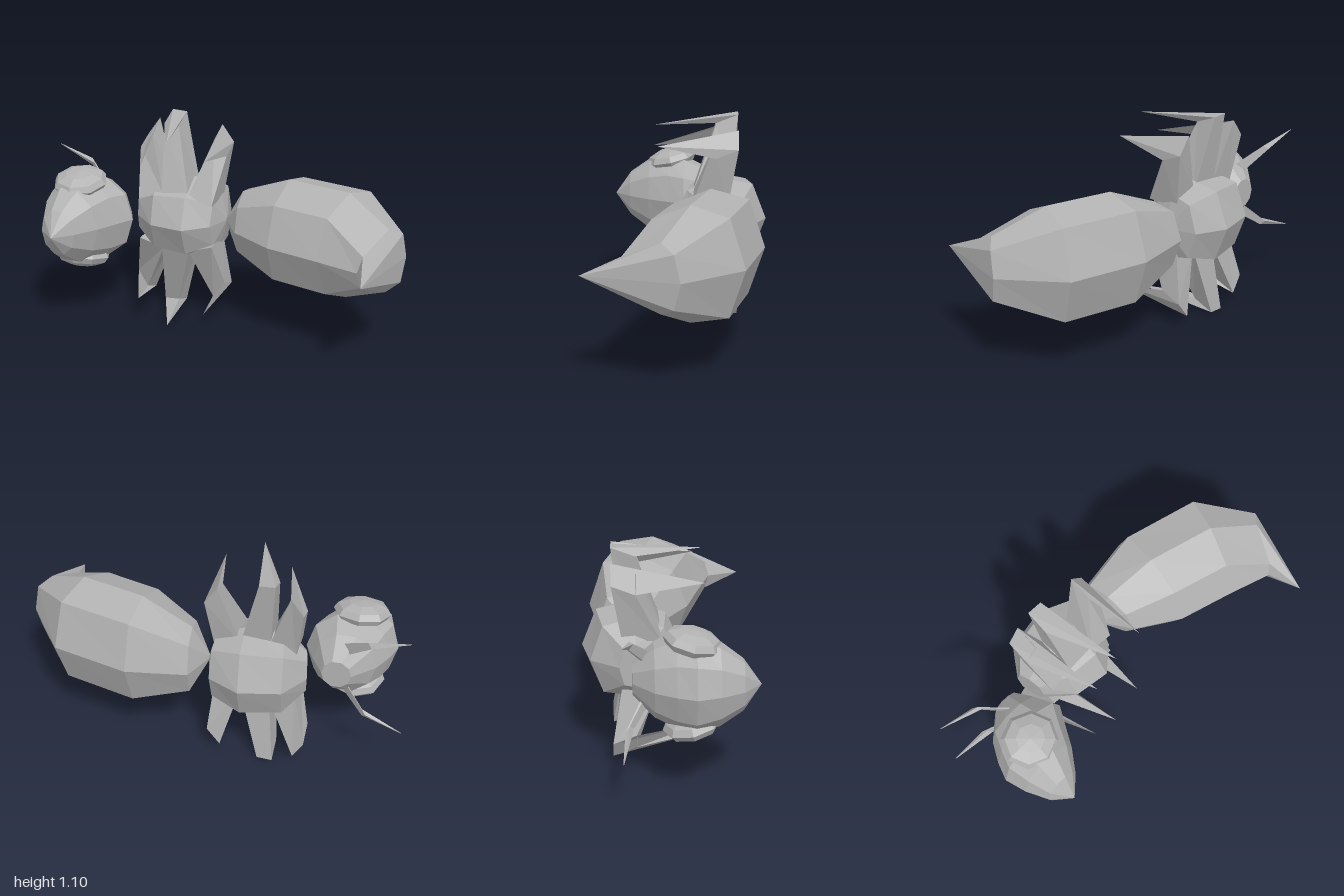
import * as THREE from 'three';

const MID = 0.547; // height of the plane of symmetry

// Skin a row of equal-sized rings, close both ends and turn all faces outward
function loft(rings) {
  const tris = [];
  const n = rings[0].length;
  const centre = (r) => r.reduce((s, p) => s.add(p), new THREE.Vector3()).divideScalar(n);
  for (let k = 0; k < rings.length - 1; k++) {
    for (let i = 0; i < n; i++) {
      const j = (i + 1) % n, a = rings[k], b = rings[k + 1];
      tris.push([a[i], a[j], b[j]], [a[i], b[j], b[i]]);
    }
  }
  const first = rings[0], last = rings[rings.length - 1];
  const c0 = centre(first), c1 = centre(last);
  for (let i = 0; i < n; i++) {
    const j = (i + 1) % n;
    tris.push([c0, first[j], first[i]], [c1, last[i], last[j]]);
  }
  const origin = centre(rings[Math.floor(rings.length / 2)]);
  let volume = 0;
  for (const t of tris) {
    const [a, b, c] = t.map((p) => p.clone().sub(origin));
    volume += a.dot(b.cross(c));
  }
  const points = tris.flatMap(([a, b, c]) => (volume < 0 ? [a, c, b] : [a, b, c]));
  const geometry = new THREE.BufferGeometry().setFromPoints(points);
  geometry.computeVertexNormals();
  return geometry;
}

const V = (x, y, z) => new THREE.Vector3(x, y, z);

// Eight-sided ring from its back point, its belly point and its half width; the back is fuller
function bodyRing(x0, z0, x1, z1, w) {
  return Array.from({ length: 8 }, (_, i) => {
    const a = (i * Math.PI) / 4, t = (1 - Math.cos(a)) / 2, s = Math.sin(a);
    const full = t < 0.5 ? Math.sign(s) * Math.sqrt(Math.abs(s)) : s;
    return V(x0 + (x1 - x0) * t, MID + w * full, z0 + (z1 - z0) * t);
  });
}

// Full ring from five half-ring points (x, half width, z)
function mirroredRing(half) {
  const left = half.map(([x, w, z]) => V(x, MID + w, z));
  const right = half.slice(1, 4).reverse().map(([x, w, z]) => V(x, MID - w, z));
  return [...left, ...right];
}

const point = (n, x, y, z) => Array.from({ length: n }, () => V(x, y, z));

export function createModel() {
  const group = new THREE.Group();
  const grey = new THREE.MeshStandardMaterial({ color: 0xb2b2b2, flatShading: true });
  grey.name = 'plain grey';
  const add = (name, geometry) => {
    const mesh = new THREE.Mesh(geometry, grey);
    mesh.name = name;
    group.add(mesh);
    return mesh;
  };

  // Abdomen, drawn out into the sting
  add('abdomen', loft([
    point(8, -0.01, MID, -0.2),
    bodyRing(0.07, -0.37, 0.1, -0.03, 0.17),
    bodyRing(0.38, -0.42, 0.32, 0.11, 0.282),
    bodyRing(0.78, -0.32, 0.6, 0.19, 0.282),
    mirroredRing([[0.995, 0, -0.03], [0.98, 0.128, 0], [0.92, 0.165, 0.06],
      [0.84, 0.08, 0.24], [0.82, 0, 0.26]]),
    point(8, 0.88, MID, 0.43),
  ]));

  // Thorax
  add('thorax', loft([
    bodyRing(-0.51, -0.26, -0.475, -0.1, 0.11),
    bodyRing(-0.41, -0.4, -0.35, 0.02, 0.205),
    bodyRing(-0.2, -0.445, -0.17, 0.045, 0.22),
    bodyRing(-0.04, -0.37, -0.05, -0.06, 0.17),
    point(8, 0, MID, -0.2),
  ]));

  // Head, from the crown to the pointed mouth: z, left x, right x, half height
  const headRings = [
    [-0.2, -0.72, -0.57, 0.08], [-0.1, -0.83, -0.51, 0.18], [0, -0.885, -0.46, 0.23],
    [0.09, -0.918, -0.51, 0.24], [0.2, -0.888, -0.57, 0.205], [0.31, -0.835, -0.65, 0.125],
  ].map(([z, x0, x1, h]) => Array.from({ length: 10 }, (_, i) => {
    const a = (i * Math.PI) / 5;
    return V((x0 + x1) / 2 + ((x1 - x0) / 2) * Math.cos(a), 0.557 + h * Math.sin(a), z);
  }));
  add('head', loft([...headRings, point(10, -0.74, 0.557, 0.395)]));

  // Legs: base edge, knee edge and claw tip in the front plane, then shift of the far-side leg
  const legs = [
    ['frontLeg', [-0.45, 0.66], [-0.31, 0.7], [-0.485, 0.95], [-0.42, 1.04], [-0.34, 0.91, 0.16], -0.045],
    ['middleLeg', [-0.32, 0.7], [-0.17, 0.7], [-0.345, 1.095], [-0.265, 1.09], [-0.2, 1.045, 0.15], -0.01],
    ['backLeg', [-0.17, 0.7], [-0.04, 0.66], [-0.065, 1.04], [0, 0.95], [-0.01, 0.965, 0.12], -0.012],
  ];
  for (const [name, b0, b1, k0, k1, tip, shift] of legs) {
    for (const side of [1, -1]) {
      const P = ([x, y], z, bend = 0) => {
        const t = (y - 0.68) / 0.4;
        return V(x + (side < 0 ? shift * t : 0), MID + side * (y - bend - MID), z);
      };
      const claw = P(tip, tip[2]);
      add((side > 0 ? 'upper ' : 'lower ') + name, loft([
        [P(b0, -0.245), P(b1, -0.245), P(b1, -0.06), P(b0, -0.06)],
        [P(k0, -0.295), P(k1, -0.295), P(k1, -0.18, 0.045), P(k0, -0.18, 0.045)],
        point(4, claw.x, claw.y, claw.z),
      ]));
    }
  }

  for (const side of [1, -1]) {
    const label = side > 0 ? 'upper ' : 'lower ';

    // Flattened eyes, sunk into the head
    const eye = add(label + 'eye', new THREE.SphereGeometry(1, 8, 6));
    eye.scale.set(0.145, 0.06, 0.14);
    eye.position.set(-0.72, 0.557 + side * 0.207, 0.075);
    eye.rotation.x = side * 0.22;

    // Bent, tapering antennae
    const antennaRing = (x, y, z, r) => [[0, r, 0], [r, 0, r], [0, -r, 0], [-r, 0, -r]]
      .map(([dx, dy, dz]) => V(x + dx, 0.565 + side * (y - 0.565 + dy), z + dz));
    add(label + 'antenna', loft([
      antennaRing(-0.67, 0.67, -0.13, 0.035),
      antennaRing(-0.79, 0.775, -0.215, 0.02),
      antennaRing(-0.995, 0.845, -0.245, 0.002),
    ]));
  }
  return group;
}
